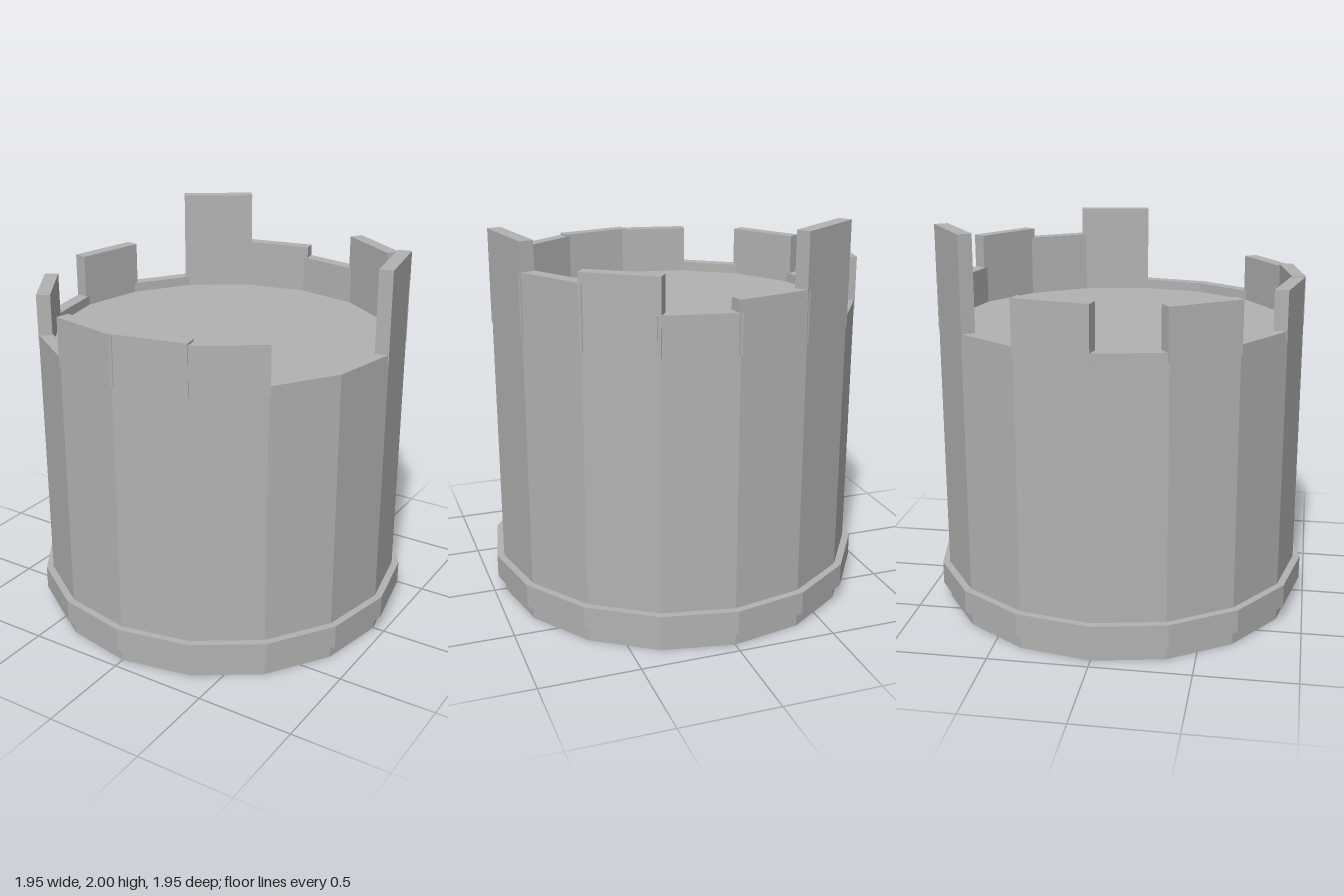
import * as THREE from 'three';

const SIDES = 16;
const RADIUS = 0.94;
const FLOOR = 1.475, RIM = 1.525, WALL = 0.07;

// Merlon top heights, one per side, counted from the front round towards +x (0 = gap)
const MERLONS = [1.73, 1.72, 0, 0, 1.94, 1.795, 1.845, 1.67, 1.73, 2.0, 0, 1.75, 0, 1.735, 0, 1.725];

export function createModel() {
  const group = new THREE.Group();
  const stone = new THREE.MeshStandardMaterial({ color: 0xb2b2b2, flatShading: true });
  stone.name = 'grey stone';

  const lathe = (name, profile) => {
    const points = profile.map(([r, y]) => new THREE.Vector2(r, y));
    const mesh = new THREE.Mesh(new THREE.LatheGeometry(points, SIDES), stone);
    mesh.name = name;
    group.add(mesh);
  };

  // Tower body with a low parapet around a sunken floor
  lathe('towerBody', [
    [0, 0], [RADIUS, 0], [RADIUS, RIM], [RADIUS - WALL, RIM], [RADIUS - WALL, FLOOR], [0, FLOOR],
  ]);

  // Raised band near the foot
  lathe('baseBand', [[0.93, 0.08], [0.977, 0.08], [0.977, 0.2], [0.93, 0.2]]);

  // Uneven broken merlons, each a straight block a little longer than its side
  const step = (Math.PI * 2) / SIDES;
  const apothem = RADIUS * Math.cos(step / 2) + 0.001;
  const battlements = new THREE.Group();
  battlements.name = 'battlements';
  MERLONS.forEach((top, i) => {
    if (!top) return;
    const angle = (i + 0.5) * step;
    const r = apothem - WALL / 2;
    const merlon = new THREE.Mesh(new THREE.BoxGeometry(0.384, top - FLOOR, WALL), stone);
    merlon.position.set(Math.sin(angle) * r, (top + FLOOR) / 2, Math.cos(angle) * r);
    merlon.rotation.y = angle;
    merlon.name = `merlon${i + 1}`;
    battlements.add(merlon);
  });
  group.add(battlements);

  return group;
}
